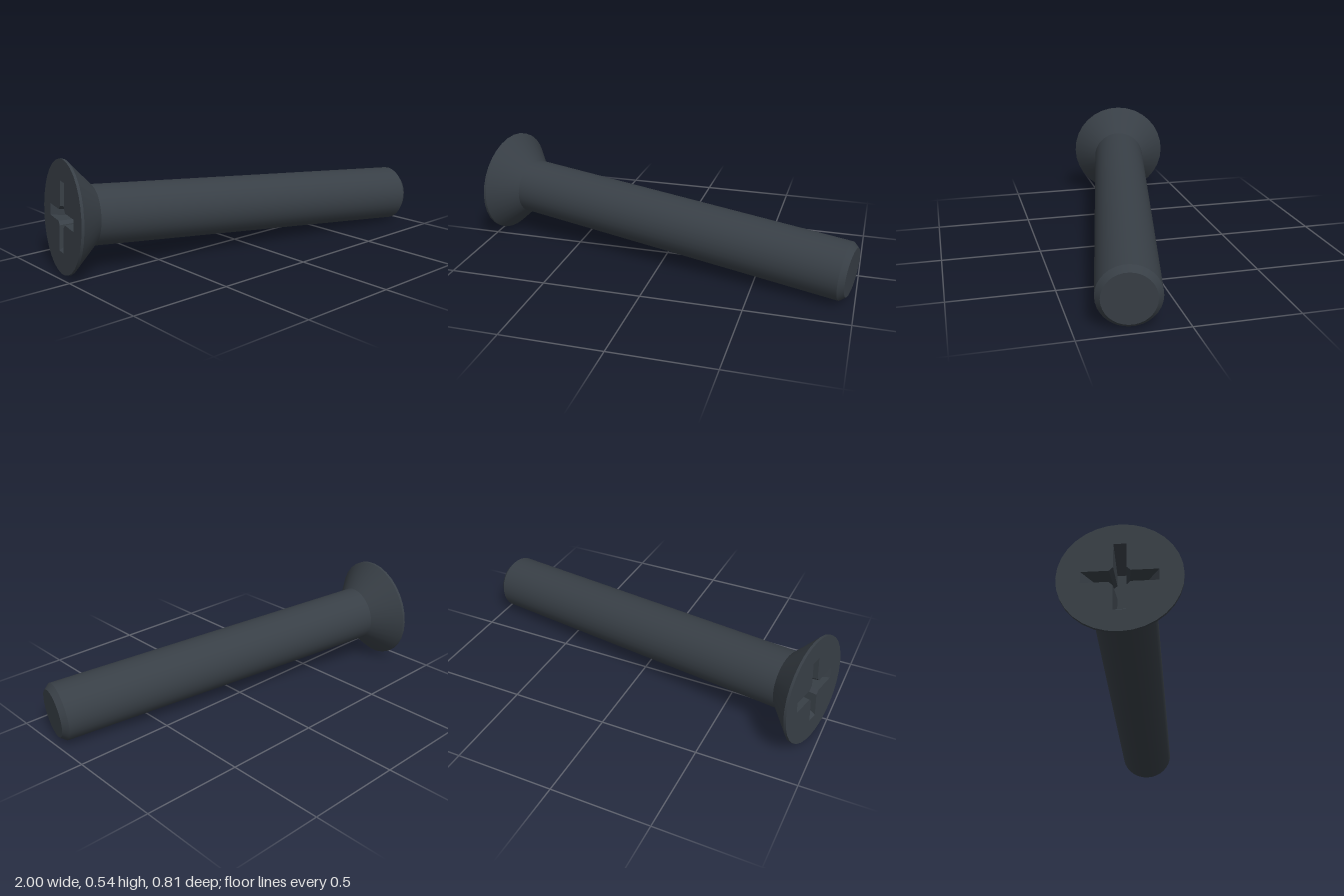
import * as THREE from 'three';

const SIDES = 32;
const LENGTH = 1.963;
const HEAD_R = 0.27;
const SHAFT_R = 0.145;
const RIM = 0.013;
const DEPTH = 0.12;

const steel = new THREE.MeshStandardMaterial({ color: 0x383f46 });
steel.name = 'dark steel';

// Cross outline, counter-clockwise: arm half length, arm half width, inner corner cut
function crossOutline(arm, half, cut) {
  const quarter = [[arm, -half], [arm, half], [half + cut, half], [half, half + cut]];
  const points = [];
  for (let i = 0; i < 4; i++) {
    for (const [x, y] of quarter) {
      points.push(new THREE.Vector2(x, y).rotateAround(new THREE.Vector2(), i * Math.PI / 2));
    }
  }
  return points;
}

export function createModel() {
  const model = new THREE.Group();
  model.name = 'screw';
  const add = (name, geometry) => {
    const mesh = new THREE.Mesh(geometry, steel);
    mesh.name = name;
    model.add(mesh);
    return mesh;
  };

  // Turned band along the axis; the head face is at z = 0 and the tip at -LENGTH
  const band = (name, r0, z0, r1, z1) => {
    const profile = [new THREE.Vector2(r0, z0), new THREE.Vector2(r1, z1)];
    add(name, new THREE.LatheGeometry(profile, SIDES).rotateX(Math.PI / 2));
  };
  const neck = -(RIM + HEAD_R - SHAFT_R);
  band('tipChamfer', 0.121, -LENGTH, SHAFT_R, -LENGTH + 0.028);
  band('shaft', SHAFT_R, -LENGTH + 0.028, SHAFT_R, neck);
  band('countersunkHead', SHAFT_R, neck, HEAD_R, -RIM);
  band('headRim', HEAD_R, -RIM, HEAD_R, 0);

  // Flat tip
  const tip = add('tipFace', new THREE.CircleGeometry(0.121, SIDES).rotateY(Math.PI));
  tip.position.z = -LENGTH;

  // Head face with a cross-shaped opening
  const top = crossOutline(0.166, 0.028, 0.018);
  const bottom = crossOutline(0.085, 0.02, 0.012);
  const disc = [];
  for (let i = 0; i < SIDES; i++) {
    const a = i / SIDES * Math.PI * 2;
    disc.push(new THREE.Vector2(Math.cos(a) * HEAD_R, Math.sin(a) * HEAD_R));
  }
  const face = new THREE.Shape(disc);
  face.holes.push(new THREE.Path(top));
  add('headFace', new THREE.ShapeGeometry(face));

  // Tapering walls and floor of the drive recess
  const walls = [];
  top.forEach((a, i) => {
    const j = (i + 1) % top.length;
    const b = top[j], c = bottom[j], d = bottom[i];
    walls.push(a.x, a.y, 0, b.x, b.y, 0, c.x, c.y, -DEPTH);
    walls.push(a.x, a.y, 0, c.x, c.y, -DEPTH, d.x, d.y, -DEPTH);
  });
  const wallGeometry = new THREE.BufferGeometry();
  wallGeometry.setAttribute('position', new THREE.Float32BufferAttribute(walls, 3));
  wallGeometry.computeVertexNormals();
  add('recessWalls', wallGeometry);
  add('recessFloor', new THREE.ShapeGeometry(new THREE.Shape(bottom))).position.z = -DEPTH;

  // Lay the screw down, resting on the head rim and the tip
  const out = new THREE.Vector3(-0.976, 0.063, -0.2075).normalize();
  const side = new THREE.Vector3(0, 1, 0).cross(out).normalize();
  const up = out.clone().cross(side);
  model.quaternion.setFromRotationMatrix(new THREE.Matrix4().makeBasis(side, up, out));
  model.position.set(-0.942, 0.27, -0.14);

  const root = new THREE.Group();
  root.name = 'countersunkScrew';
  root.add(model);
  return root;
}
